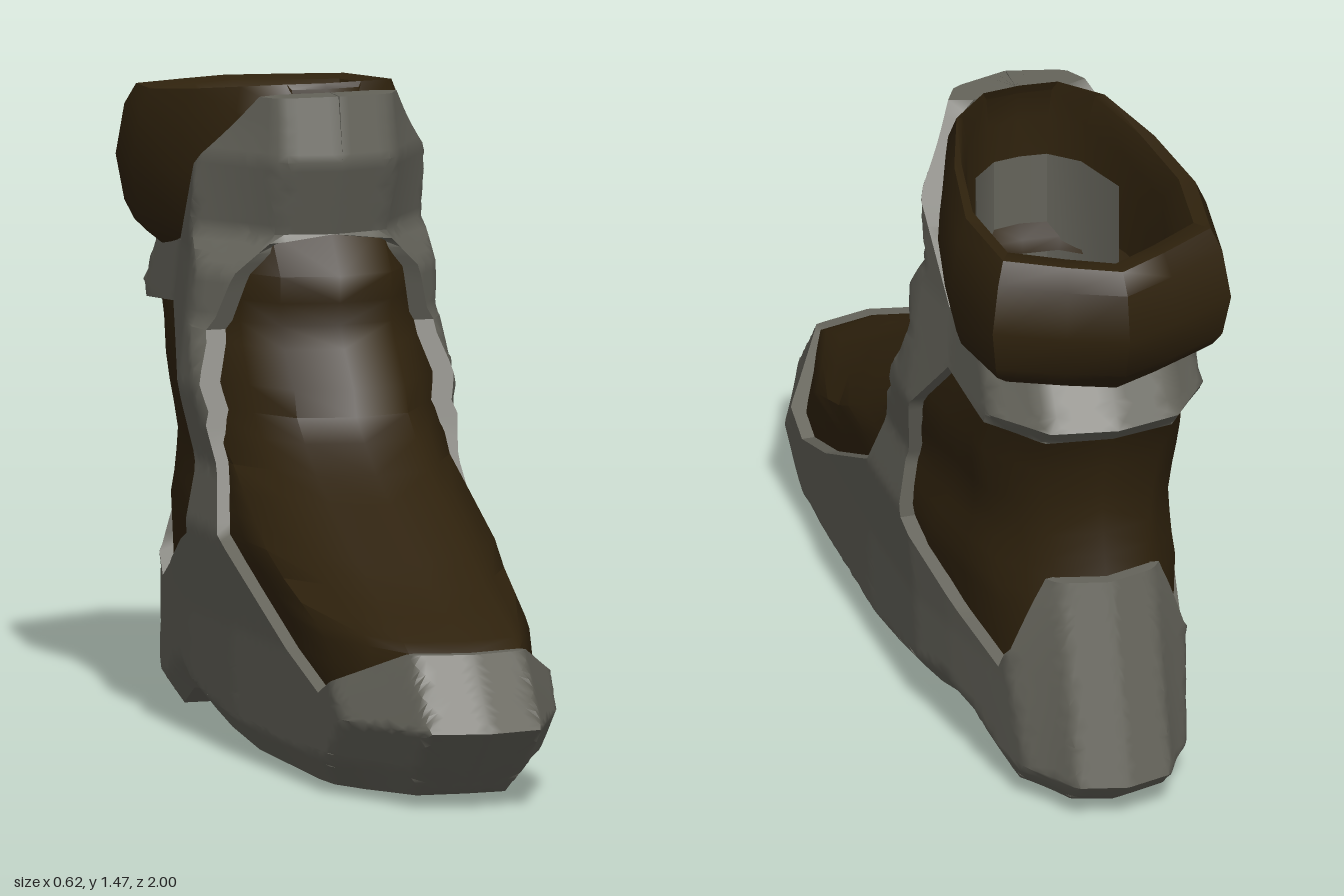
import * as THREE from 'three';
import { toCreasedNormals } from 'three/addons/utils/BufferGeometryUtils.js';

const grey = new THREE.MeshStandardMaterial({ color: 0x64635a, side: THREE.DoubleSide });
grey.name = 'shell grey';
const brown = new THREE.MeshStandardMaterial({ color: 0x2f220d, side: THREE.DoubleSide });
brown.name = 'padding brown';

// Piecewise linear lookup, clamped at both ends
function at(table, v) {
  if (v <= table[0][0]) return table[0][1];
  for (let i = 1; i < table.length; i++) {
    const [a, p] = table[i - 1], [b, q] = table[i];
    if (v <= b) return p + (q - p) * (v - a) / (b - a || 1);
  }
  return table[table.length - 1][1];
}

// Outline of the boot by height: front z, back z, half width and front corner depth
const front = [[0, .78], [.03, .82], [.19, 1], [.35, .87], [.37, .83], [.45, .61], [.65, .2], [.71, .11],
  [.76, .05], [.82, .03], [.9, -.04], [.95, -.07], [1.06, -.07], [1.15, -.14], [1.32, -.08], [1.47, -.11]];
const back = [[0, -.84], [.01, -.87], [.06, -.95], [.1, -.99], [.555, -.86], [.68, -.83], [.8, -.84],
  [.93, -.88], [.97, -.92], [1.085, -.84], [1.2, -.88]];
const half = [[.08, .275], [.3, .285], [.5, .305], [.64, .282], [.8, .305], [1.1, .275], [1.47, .265]];
const corner = [[.36, .3], [1.1, .2], [1.4, .26]];
// Sole line, heel to toe: z, y
const bottom = [[-.97, .01], [-.82, .01], [-.72, .015], [-.58, .07], [-.45, .09], [-.2, .04], [0, .018],
  [.4, .01], [.6, .015], [.78, .025], [.92, .03]];

// Folds the flat side pattern (s, y) round toe and heel, up to the centre line
function wrap(s, y, inset = 0) {
  const F = at(front, y) - inset, B = at(back, y) + inset;
  const heel = at([[.55, .64], [.95, .85]], y);
  const narrow = at([[-.9, heel], [-.5, .91], [-.33, 1]], s);
  const W = (at(half, y) - .04 * Math.max(0, s)) * narrow - inset;
  const backX = at([[.55, .11], [.95, .15]], y);
  const tuck = 1 - .2 * Math.max(0, 1 - (y - at(bottom, s)) / .07);
  const x = at([[B - .1, 0], [B + .03, backX], [B + .16, W], [F - at(corner, y), W], [F - .03, .13], [F + .1, 0]], s);
  const z = at([[B - .1, B], [B + .03, B + .03], [F - .03, F - .03], [F + .1, F]], s);
  return [x * tuck, y, z];
}

function geometryFrom(triangles, crease) {
  const pos = [];
  const [a, b, c] = [0, 1, 2].map(() => new THREE.Vector3());
  for (const t of triangles) {
    a.fromArray(t[0]); b.fromArray(t[1]); c.fromArray(t[2]);
    if (b.sub(a).cross(c.sub(a)).length() > 1e-8) pos.push(...t.flat());
  }
  const g = new THREE.BufferGeometry();
  g.setAttribute('position', new THREE.Float32BufferAttribute(pos, 3));
  g.computeVertexNormals();
  return toCreasedNormals(g, crease);
}

const flip = p => [-p[0], p[1], p[2]];
const mirrored = tris => [...tris, ...tris.map(([a, b, c]) => [flip(a), flip(c), flip(b)])];
const mid = (a, b) => [(a[0] + b[0]) / 2, (a[1] + b[1]) / 2];
const gap = (a, b) => Math.hypot(a[0] - b[0], a[1] - b[1]);
const STEP = .035;

// Cuts triangles along the line at height y, so folds there stay straight
function sliceAt(tris, y) {
  return tris.flatMap(t => {
    const sides = t.map(p => Math.abs(p[1] - y) < 1e-6 ? 0 : Math.sign(p[1] - y));
    if (!(sides.includes(1) && sides.includes(-1))) return [t];
    const parts = [1, -1].map(keep => {
      const poly = [];
      t.forEach((p, i) => {
        const j = (i + 1) % 3, q = t[j];
        if (sides[i] !== -keep) poly.push(p);
        if (sides[i] * sides[j] < 0) poly.push([p[0] + (q[0] - p[0]) * (y - p[1]) / (q[1] - p[1]), y]);
      });
      return poly;
    });
    return parts.flatMap(p => p.slice(2).map((q, i) => [p[0], p[i + 1], q]));
  });
}
function splitTriangle(a, b, c, out) {
  const l = [gap(a, b), gap(b, c), gap(c, a)], m = Math.max(...l);
  if (m <= STEP) { out.push([a, b, c]); return; }
  if (l[1] === m) [a, b, c] = [b, c, a];
  else if (l[2] === m) [a, b, c] = [c, a, b];
  const p = mid(a, b);
  splitTriangle(a, p, c, out);
  splitTriangle(p, b, c, out);
}
function splitEdge(a, b, out) {
  if (gap(a, b) <= STEP) { out.push([a, b]); return; }
  const p = mid(a, b);
  splitEdge(a, p, out);
  splitEdge(p, b, out);
}

// Hard shell: one cut pattern, wrapped, thickened and mirrored
function shellGeometry() {
  const pattern = [...bottom,
    [1.1, .19], [.97, .35], [.82, .35], [.55, .23],                      // toe cap
    [.35, .3], [-.05, .5], [-.15, .7], [-.25, .93], [-.21, 1.04], [-.17, 1.13], // instep edge
    [-.04, 1.15], [.02, 1.32], [-.01, 1.465], [-.19, 1.46],              // front collar
    [-.35, 1.27], [-.48, 1.1], [-.83, 1.085], [-.94, 1.085], [-1.02, .97], [-.98, .93], // ankle strap
    [-.83, .925], [-.5, .96], [-.34, .79], [-.27, .61], [-.28, .47],     // side window
    [-.55, .36], [-.72, .305], [-.765, .37], [-.8, .555],
    [-.96, .555], [-1.09, .1], [-1.05, .06]];                            // heel cup
  const outer = p => wrap(p[0], p[1]);
  const inner = p => wrap(p[0], p[1], at([[1.15, .035], [1.4, .075]], p[1]));
  const flat = [], edges = [], sole = [], tris = [];
  let pieces = THREE.ShapeUtils.triangulateShape(pattern.map(p => new THREE.Vector2(...p)), [])
    .map(f => f.map(i => pattern[i]));
  for (const y of [.06, .1, .19, .97, 1.15, 1.32]) pieces = sliceAt(pieces, y);
  for (const t of pieces) splitTriangle(...t, flat);
  for (const [a, b, c] of flat) {
    tris.push([outer(a), outer(c), outer(b)], [inner(a), inner(b), inner(c)]);
  }
  pattern.forEach((p, i) => splitEdge(p, pattern[(i + 1) % pattern.length], edges));
  for (const [a, b] of edges) {
    tris.push([outer(a), outer(b), inner(b)], [outer(a), inner(b), inner(a)]);
  }
  // Flat underside between the two lower edges
  const low = [];
  for (let i = 1; i < bottom.length; i++) splitEdge(bottom[i - 1], bottom[i], low);
  for (const [a, b] of low) {
    const p = outer(a), q = outer(b);
    sole.push([p, q, flip(q)], [p, flip(q), flip(p)]);
  }
  return geometryFrom([...mirrored(tris), ...sole], .75);
}

// Joins half rings of equal length and mirrors them
function loft(rows, crease) {
  const tris = [];
  for (let r = 1; r < rows.length; r++) {
    for (let i = 1; i < rows[r].length; i++) {
      const a = rows[r - 1][i - 1], b = rows[r - 1][i], c = rows[r][i], d = rows[r][i - 1];
      tris.push([a, b, c], [a, c, d]);
    }
  }
  return geometryFrom(mirrored(tris), crease);
}

// Soft inner boot: tongue and ankle padding
function linerGeometry() {
  const inset = .03;
  const heights = [.1, .2, .3, .35, .37, .41, .45, .5, .55, .6, .65, .71, .76, .82, .9, .95, 1.0, 1.06, 1.15, 1.22];
  return loft(heights.map(y => {
    const F = at(front, y) - inset, B = at(back, y) + inset, cf = at(corner, y);
    const stops = [F + .1, F - .03, F - .03 - (cf - .03) / 2, F - cf];
    for (let i = 1; i < 6; i++) stops.push(F - cf + (B + .16 - F + cf) * i / 6);
    stops.push(B + .16, B + .1, B + .03, B - .1);
    return stops.map(s => wrap(s, y, inset));
  }), .9);
}

// Plan of the padded cuff, front centre to back centre: x, z
const plan = [[0, -.17], [.1, -.18], [.2, -.26], [.27, -.45], [.31, -.66], [.28, -.87], [.13, -.945], [0, -1]];
const ring = (kx, kz, zc, height) => plan.map(([x, z]) => {
  const pz = zc + (z + .585) * kz;
  return [x * kx, height(pz), pz];
});
const rim = [[-.95, 1.39], [-.6, 1.42], [-.22, 1.48]];
const cuffHeight = f => z => 1.09 + f * (at(rim, z) - 1.09);

export function createModel() {
  const boot = new THREE.Group();
  boot.name = 'boot';
  const add = (name, geometry, material) => {
    const m = new THREE.Mesh(geometry, material);
    m.name = name;
    boot.add(m);
    return m;
  };

  add('hardShell', shellGeometry(), grey);
  add('softLiner', linerGeometry(), brown);

  // Rolled cuff: up the outside, over the rim and down the inside
  add('paddedCuff', loft([
    [.8, .8, -.57, -.06], [.9, .84, -.58, .02], [.95, .93, -.585, .15], [1, 1, -.585, .48],
    [.94, .96, -.585, .85], [.87, .89, -.58, 1], [.78, .84, -.55, .97], [.7, .76, -.51, .75], [.68, .76, -.51, .1],
  ].map(([kx, kz, zc, f]) => ring(kx, kz, zc, cuffHeight(f))), .7), brown);

  // Plate behind the tongue, inside the opening
  add('tonguePlate', loft([
    [.62, .72, -.51, 1.3], [.62, .72, -.51, .9], [.62, .72, -.51, .2],
  ].map(([kx, kz, zc, y]) => ring(kx, kz, zc, () => y).slice(0, 4)), .6), grey);

  // Insole
  add('insole', loft([[.62, .72, -.51], [0, 0, -.51]]
    .map(([kx, kz, zc]) => ring(kx, kz, zc, () => .2)), .5), grey);

  // Small round pads set into the sole
  for (const [z, r] of [[.34, .045], [.19, .06], [.06, .045], [-.1, .055]]) {
    const pad = add('solePad', new THREE.CylinderGeometry(r, r, .008, 14), brown);
    pad.position.set(0, at(bottom, z) - .001, z);
    pad.rotation.x = z < 0 ? .11 : 0;
  }
  return boot;
}
